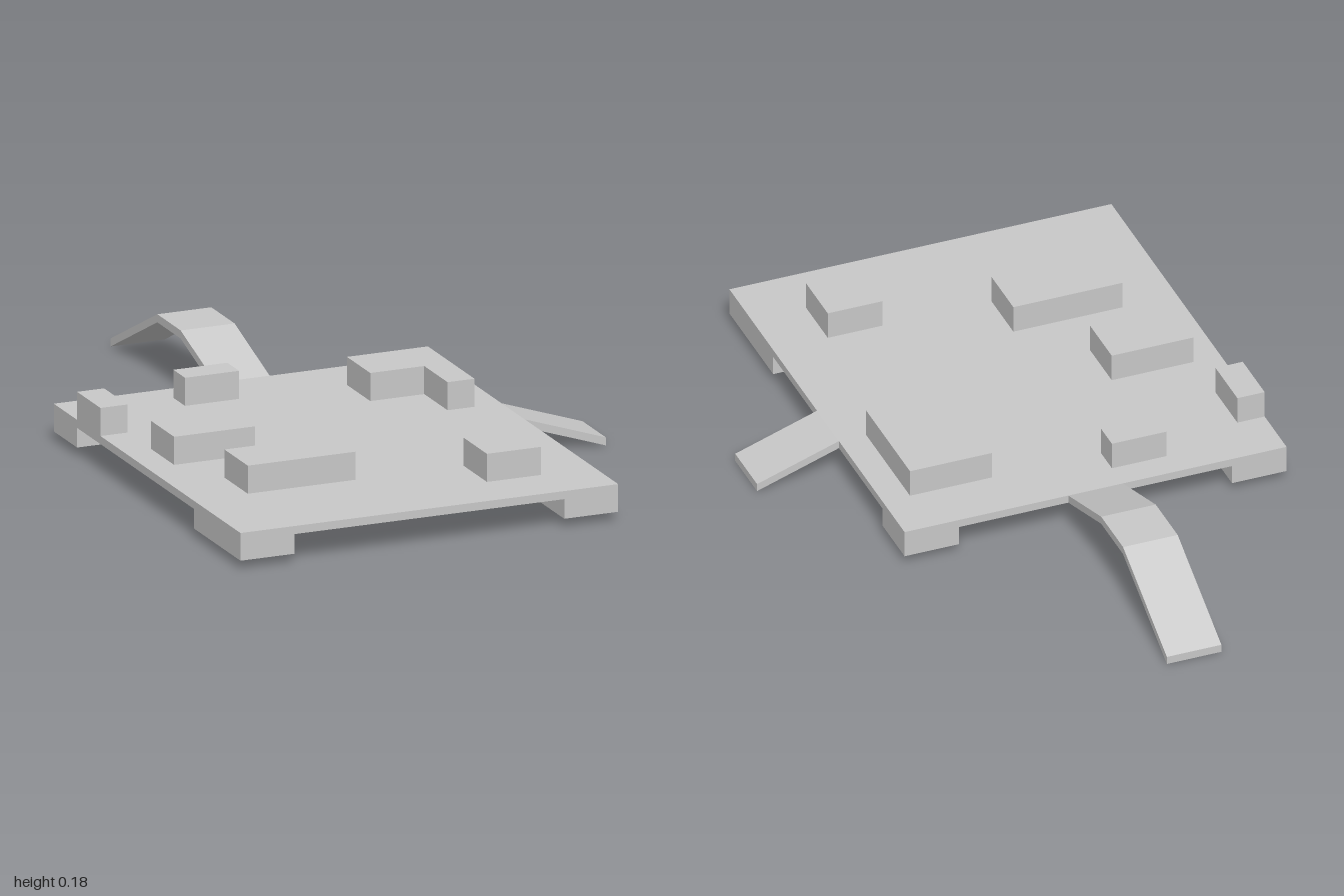
import * as THREE from 'three';

const FOOT = 0.026, UNDER = 0.082, DECK = 0.105, TOP = 0.185;

export function createModel() {
  const group = new THREE.Group();
  const grey = new THREE.MeshStandardMaterial({ color: 0xc8c8c8 });
  grey.name = 'plain grey';

  const add = (name, geometry) => {
    const mesh = new THREE.Mesh(geometry, grey);
    mesh.name = name;
    group.add(mesh);
    return mesh;
  };
  const box = (name, x0, x1, y0, y1, z0, z1) =>
    add(name, new THREE.BoxGeometry(x1 - x0, y1 - y0, z1 - z0))
      .position.set((x0 + x1) / 2, (y0 + y1) / 2, (z0 + z1) / 2);
  const extrude = (points, depth) => new THREE.ExtrudeGeometry(
    new THREE.Shape(points.map(([x, y]) => new THREE.Vector2(x, y))),
    { depth, bevelEnabled: false });

  // Bent strip of even thickness, given by its upper edge
  const strip = (edge, depth) => {
    const t = DECK - UNDER;
    const lower = edge.map(([x, y]) => [x, Math.max(0, y - t)]);
    return extrude([...lower, ...edge.slice().reverse()], depth);
  };

  // Main platform
  box('platform', -0.68, 0.44, UNDER, DECK, -0.28, 1);

  // Corner feet: long at the front, square at the back
  for (const [side, x0, x1] of [['right', -0.68, -0.52], ['left', 0.28, 0.44]]) {
    box(side + 'FrontFoot', x0, x1, FOOT, UNDER, 0.68, 1);
    box(side + 'BackFoot', x0, x1, FOOT, UNDER, -0.28, -0.12);
  }

  // Raised blocks: x0, x1, z0, z1
  const blocks = [
    [-0.36, -0.2, -0.2, -0.12],
    [-0.68, -0.6, -0.12, 0.04],
    [-0.6, -0.36, 0.2, 0.36],
    [-0.52, -0.2, 0.52, 0.68],
    [0.12, 0.28, 0.68, 0.84],
  ];
  blocks.forEach(([x0, x1, z0, z1], i) =>
    box('block' + (i + 1), x0, x1, DECK, TOP, z0, z1));

  // L-shaped block, drawn in plan and stood upright
  const corner = extrude([[0.12, 0.12], [0.12, -0.04], [0.28, -0.04],
    [0.28, -0.2], [0.36, -0.2], [0.36, 0.12]], TOP - DECK);
  corner.rotateX(-Math.PI / 2);
  add('cornerBlock', corner).position.y = DECK;

  // Side ramp down to the ground
  add('sideRamp', strip([[0.44, DECK], [0.68, 0.024]], 0.16)).position.z = 0.2;

  // Back ramp: rises, runs level, then falls to the ground
  const back = strip([[0.28, DECK], [0.52, TOP], [0.68, TOP], [1, 0.024]], 0.16);
  back.rotateY(Math.PI / 2);
  add('backRamp', back).position.x = -0.2;

  return group;
}
